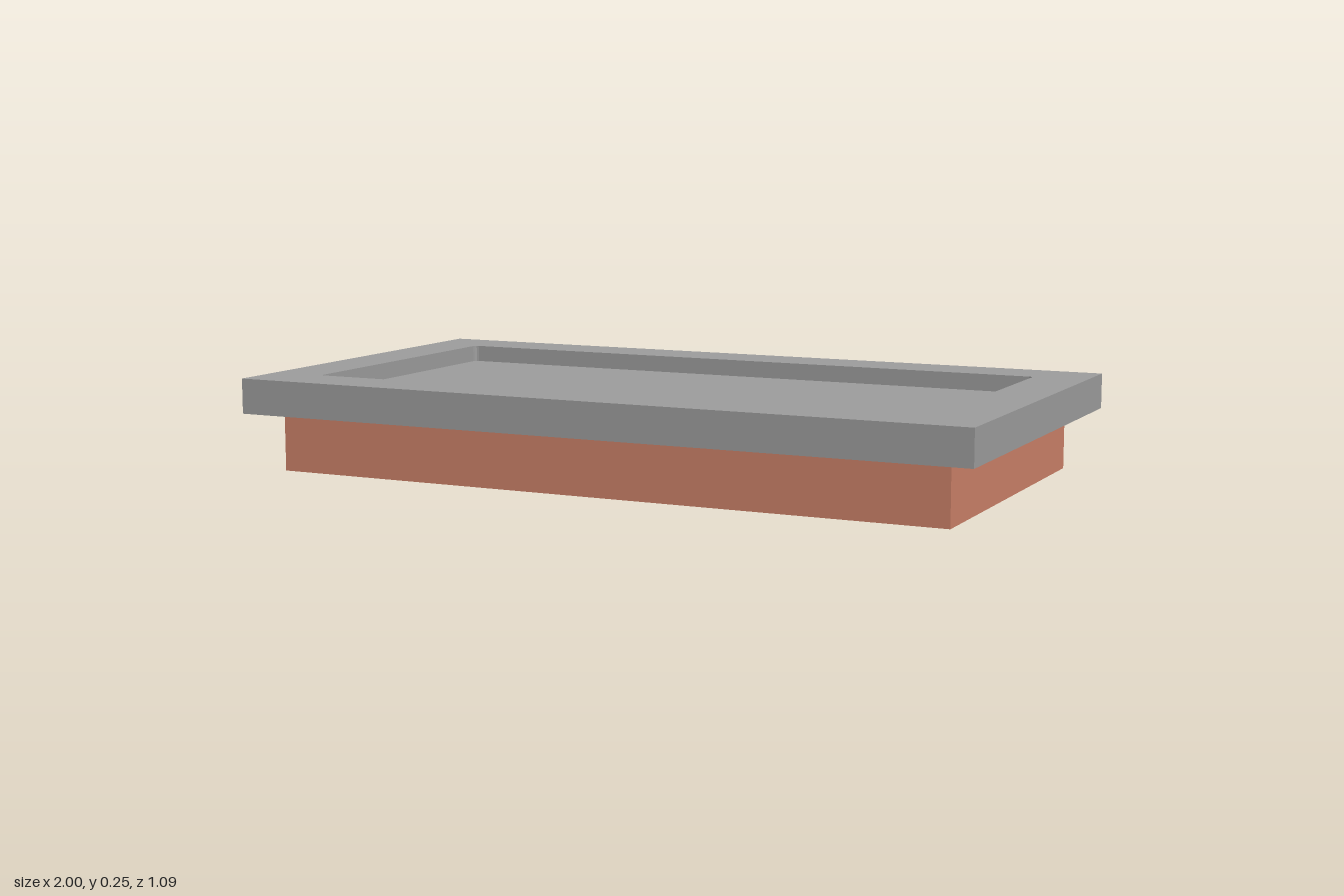
import * as THREE from 'three';

const TOP = 0.25, RIM = 0.157, FLOOR = 0.205;

// Rectangle outline, counter-clockwise from above, with optional rounded corners
function outline(hx, hz, r = 0) {
  const pts = [];
  [[1, 1], [-1, 1], [-1, -1], [1, -1]].forEach(([sx, sz], i) => {
    if (!r) { pts.push(new THREE.Vector2(sx * hx, sz * hz)); return; }
    for (let k = 0; k <= 3; k++) {
      const a = (i + k / 3) * Math.PI / 2;
      pts.push(new THREE.Vector2(sx * (hx - r) + r * Math.cos(a), sz * (hz - r) + r * Math.sin(a)));
    }
  });
  return pts;
}

// Upright wall following an outline
function wall(pts, y0, y1) {
  const pos = [];
  pts.forEach((a, i) => {
    const b = pts[(i + 1) % pts.length];
    pos.push(a.x, y0, -a.y, b.x, y0, -b.y, b.x, y1, -b.y);
    pos.push(a.x, y0, -a.y, b.x, y1, -b.y, a.x, y1, -a.y);
  });
  const g = new THREE.BufferGeometry();
  g.setAttribute('position', new THREE.Float32BufferAttribute(pos, 3));
  g.computeVertexNormals();
  return g;
}

// Level sheet with an optional opening
function sheet(pts, y, hole) {
  const shape = new THREE.Shape(pts);
  if (hole) shape.holes.push(new THREE.Path(hole));
  return new THREE.ShapeGeometry(shape).rotateX(-Math.PI / 2).translate(0, y, 0);
}

export function createModel() {
  const material = (name, color) => {
    const m = new THREE.MeshStandardMaterial({ color, side: THREE.DoubleSide });
    m.name = name;
    return m;
  };
  const grey = material('stone grey', 0x9e9e9e);
  const terracotta = material('terracotta', 0xcd8269);
  const tan = material('tan lining', 0xa39583);

  const group = new THREE.Group();
  group.name = 'shallowTray';
  const add = (name, geometry, mat) => {
    const mesh = new THREE.Mesh(geometry, mat);
    mesh.name = name;
    group.add(mesh);
  };

  const outer = outline(1, 0.543);
  const base = outline(0.922, 0.467);
  const recess = outline(0.855, 0.395, 0.012);

  // Overhanging slab
  add('slabTop', sheet(outer, TOP, recess), grey);
  add('slabSides', wall(outer, RIM, TOP), grey);
  add('slabUnderside', sheet(outer, RIM, base).scale(1, 1, 1), grey);

  // Sunken panel in the slab
  add('recessWalls', wall(recess, FLOOR, TOP), grey);
  add('recessFloor', sheet(recess, FLOOR), grey);

  // Open-bottomed base and the lining above it
  add('baseWalls', wall(base, 0, RIM), terracotta);
  add('innerLining', wall(base, RIM, TOP), tan);

  return group;
}
